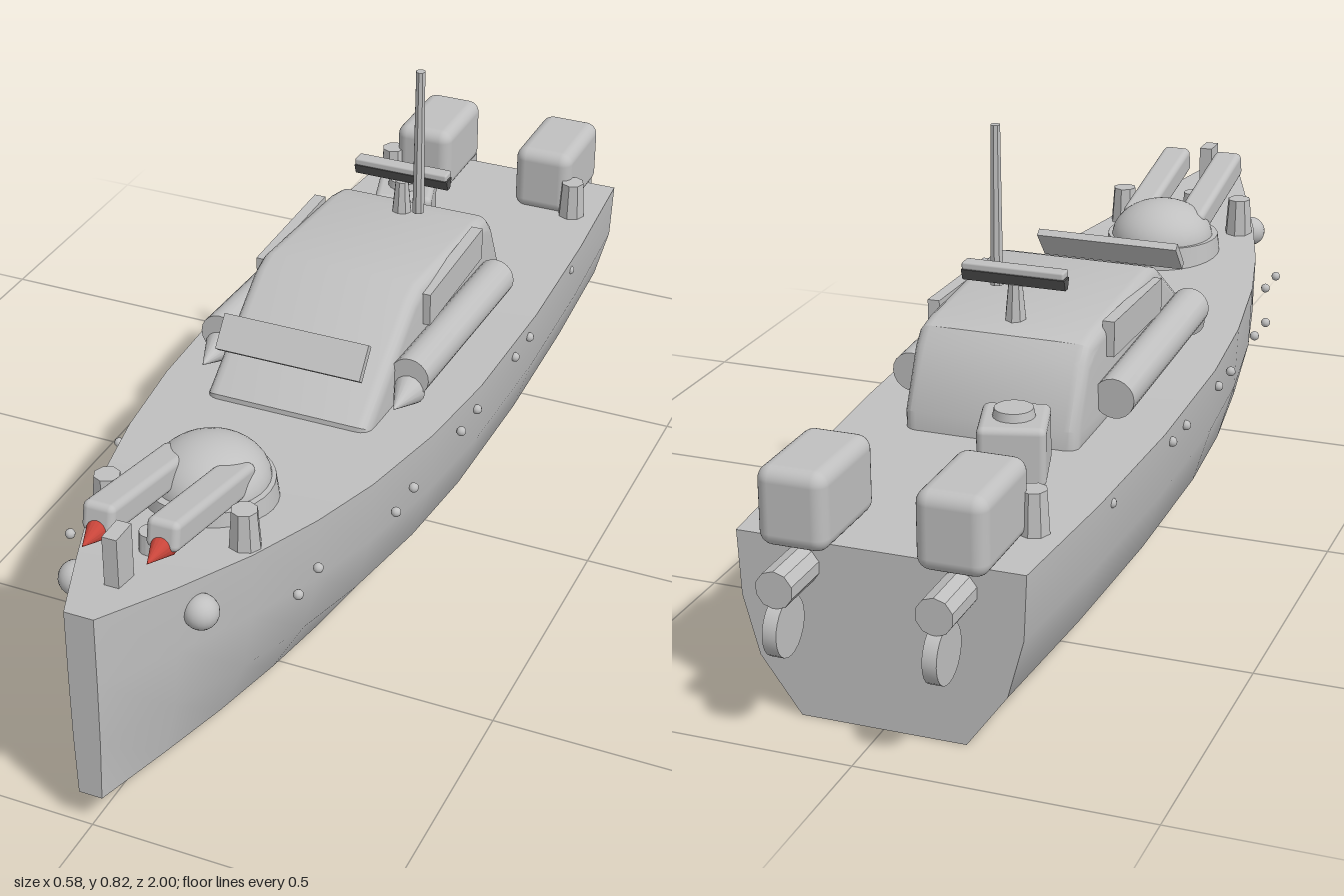
import * as THREE from 'three';
import { toCreasedNormals } from 'three/addons/utils/BufferGeometryUtils.js';
import { RoundedBoxGeometry } from 'three/addons/geometries/RoundedBoxGeometry.js';

const paint = (name, color) => {
  const m = new THREE.MeshStandardMaterial({ color });
  m.name = name;
  return m;
};

// Hull lofted through stations: [z, half width, deck height, keel height, keel width ratio]
function hullGeometry() {
  const stations = [
    [-0.88, 0.245, 0.31, 0, 0.58], [-0.6, 0.265, 0.312, 0, 0.57], [-0.3, 0.278, 0.318, 0.001, 0.56],
    [0, 0.278, 0.328, 0.005, 0.56], [0.2, 0.264, 0.338, 0.011, 0.56], [0.4, 0.234, 0.35, 0.021, 0.56],
    [0.55, 0.198, 0.362, 0.029, 0.56], [0.7, 0.15, 0.377, 0.039, 0.57], [0.85, 0.09, 0.396, 0.05, 0.6],
    [1, 0.026, 0.42, 0.062, 0.8],
  ];
  const pos = [], index = [];
  for (const [z, w, deck, keel, k] of stations) {
    const side = [[1, 1], [k + (1 - k) * 0.95, 0.64], [k + (1 - k) * 0.68, 0.31], [k, 0]];
    const y = (t) => keel + (deck - keel) * t;
    for (const [f, t] of side) pos.push(w * f, y(t), z);
    for (const [f, t] of side.reverse()) pos.push(-w * f, y(t), z);
  }
  const n = 8, last = (stations.length - 1) * n;
  for (let i = 0; i < last; i += n) {
    for (let j = 0; j < n; j++) {
      const a = i + j, b = i + (j + 1) % n;
      index.push(a, a + n, b, b, a + n, b + n);
    }
  }
  for (let j = 1; j < n - 1; j++) {
    index.push(0, j, j + 1, last, last + j + 1, last + j); // transom and stem
  }
  const g = new THREE.BufferGeometry();
  g.setAttribute('position', new THREE.Float32BufferAttribute(pos, 3));
  g.setIndex(index);
  return toCreasedNormals(g, 0.6);
}

// Profile in (z, y) extruded across the ship with a bevel
function crossExtrude(points, width, bevel) {
  const shape = new THREE.Shape(points.map(([z, y]) => new THREE.Vector2(z, y)));
  const depth = width - 2 * bevel;
  const g = new THREE.ExtrudeGeometry(shape, {
    depth, bevelEnabled: bevel > 0, bevelThickness: bevel, bevelSize: bevel, bevelOffset: -bevel, bevelSegments: 4,
  });
  g.translate(0, 0, -depth / 2).rotateY(-Math.PI / 2);
  return toCreasedNormals(g, 0.55);
}

const cyl = (top, bottom, h, sides = 24) =>
  toCreasedNormals(new THREE.CylinderGeometry(top, bottom, h, sides), 0.6);

export function createModel() {
  const ship = new THREE.Group();
  ship.name = 'patrolBoat';
  const grey = paint('shipGrey', 0xc0c0c0);
  const dark = paint('darkGrey', 0x555555);
  const red = paint('warheadRed', 0xc8453a);

  const add = (name, geo, mat, x = 0, y = 0, z = 0, rx = 0, ry = 0) => {
    const m = new THREE.Mesh(geo, mat);
    m.name = name;
    m.position.set(x, y, z);
    m.rotation.set(rx, ry, 0);
    ship.add(m);
  };
  const pair = (name, geo, mat, x, y, z, rx = 0) => {
    add(name + 'Left', geo, mat, x, y, z, rx);
    add(name + 'Right', geo, mat, -x, y, z, rx);
  };
  const FWD = Math.PI / 2; // turns a cylinder's axis towards the bow

  add('hull', hullGeometry(), grey);

  // Cabin, windscreen and side panels
  add('cabin', crossExtrude([
    [0.255, 0.31], [0.25, 0.35], [0.04, 0.5], [0, 0.513], [-0.3, 0.492],
    [-0.345, 0.482], [-0.37, 0.455], [-0.42, 0.35], [-0.42, 0.3],
  ], 0.32, 0.024), grey);
  add('windscreen', new THREE.BoxGeometry(0.28, 0.066, 0.015), grey, 0, 0.463, 0.217, -0.69);
  pair('sidePanel', new THREE.BoxGeometry(0.022, 0.064, 0.265), grey, 0.163, 0.465, -0.135, 0.02);

  // Torpedo tubes alongside the cabin
  pair('torpedoTube', cyl(0.037, 0.037, 0.44, 20), grey, 0.188, 0.387, -0.09, FWD - 0.05);
  pair('torpedoNose', cyl(0, 0.03, 0.075, 16), grey, 0.188, 0.372, 0.165, FWD);

  // Mast and radar
  add('mast', cyl(0.009, 0.012, 0.29, 8), grey, 0.057, 0.675, -0.23);
  add('radarPost', cyl(0.013, 0.02, 0.07, 8), grey, 0, 0.522, -0.287);
  add('radarTrough', crossExtrude([[0.013, 0.02], [-0.013, 0.02], [-0.006, 0], [0.006, 0]], 0.19, 0),
    dark, 0, 0.556, -0.29);
  add('radarBar', new RoundedBoxGeometry(0.188, 0.014, 0.028, 2, 0.004), grey, 0, 0.583, -0.29);

  // Bow turret with twin launchers
  add('turretRing', cyl(0.112, 0.12, 0.06, 32), grey, 0, 0.367, 0.55);
  const dome = new THREE.SphereGeometry(0.103, 32, 12, 0, Math.PI * 2, 0, Math.PI / 2);
  add('turretDome', dome.scale(1, 0.74, 1), grey, 0, 0.39, 0.545);
  pair('launcher', new RoundedBoxGeometry(0.058, 0.053, 0.29, 3, 0.012), grey, 0.057, 0.446, 0.69, -0.2);
  pair('warhead', cyl(0, 0.023, 0.06, 16), red, 0.057, 0.454, 0.852, FWD);

  // Foredeck fittings
  add('bowPost', new THREE.BoxGeometry(0.026, 0.1, 0.05), grey, 0, 0.445, 0.87);
  add('capstan', cyl(0.02, 0.022, 0.045, 16), grey, 0, 0.4, 0.76);
  pair('bowBollard', cyl(0.023, 0.029, 0.08, 8), grey, 0.125, 0.405, 0.675);
  pair('sternBollard', cyl(0.023, 0.028, 0.08, 8), grey, 0.2, 0.345, -0.73);
  pair('anchorBoss', new THREE.SphereGeometry(0.03, 20, 14), grey, 0.113, 0.332, 0.813);

  // Portholes: [z, x]
  const porthole = new THREE.SphereGeometry(0.009, 10, 8);
  for (const [z, x] of [[0.66, 0.212], [0.58, 0.212], [0.38, 0.268], [0.3, 0.268], [0.1, 0.279],
    [0.02, 0.279], [-0.18, 0.279], [-0.26, 0.279], [-0.54, 0.264]]) {
    pair('porthole', porthole, grey, x, 0.29, z);
  }

  // Aft locker with hatch
  add('aftLocker', new RoundedBoxGeometry(0.115, 0.105, 0.125, 3, 0.012), grey, -0.09, 0.364, -0.53, 0, 0.28);
  add('lockerHatch', cyl(0.033, 0.037, 0.02, 20), grey, -0.09, 0.421, -0.53);

  // Stern containers, outlets and drive discs
  pair('sternContainer', new RoundedBoxGeometry(0.12, 0.135, 0.195, 4, 0.024), grey, 0.133, 0.372, -0.82);
  pair('sternOutlet', cyl(0.032, 0.032, 0.115, 10), grey, 0.133, 0.267, -0.92, FWD);
  const disc = cyl(0.05, 0.05, 0.024, 24).rotateZ(Math.PI / 2);
  pair('driveDisc', disc, grey, 0.133, 0.195, -0.95);

  return ship;
}
